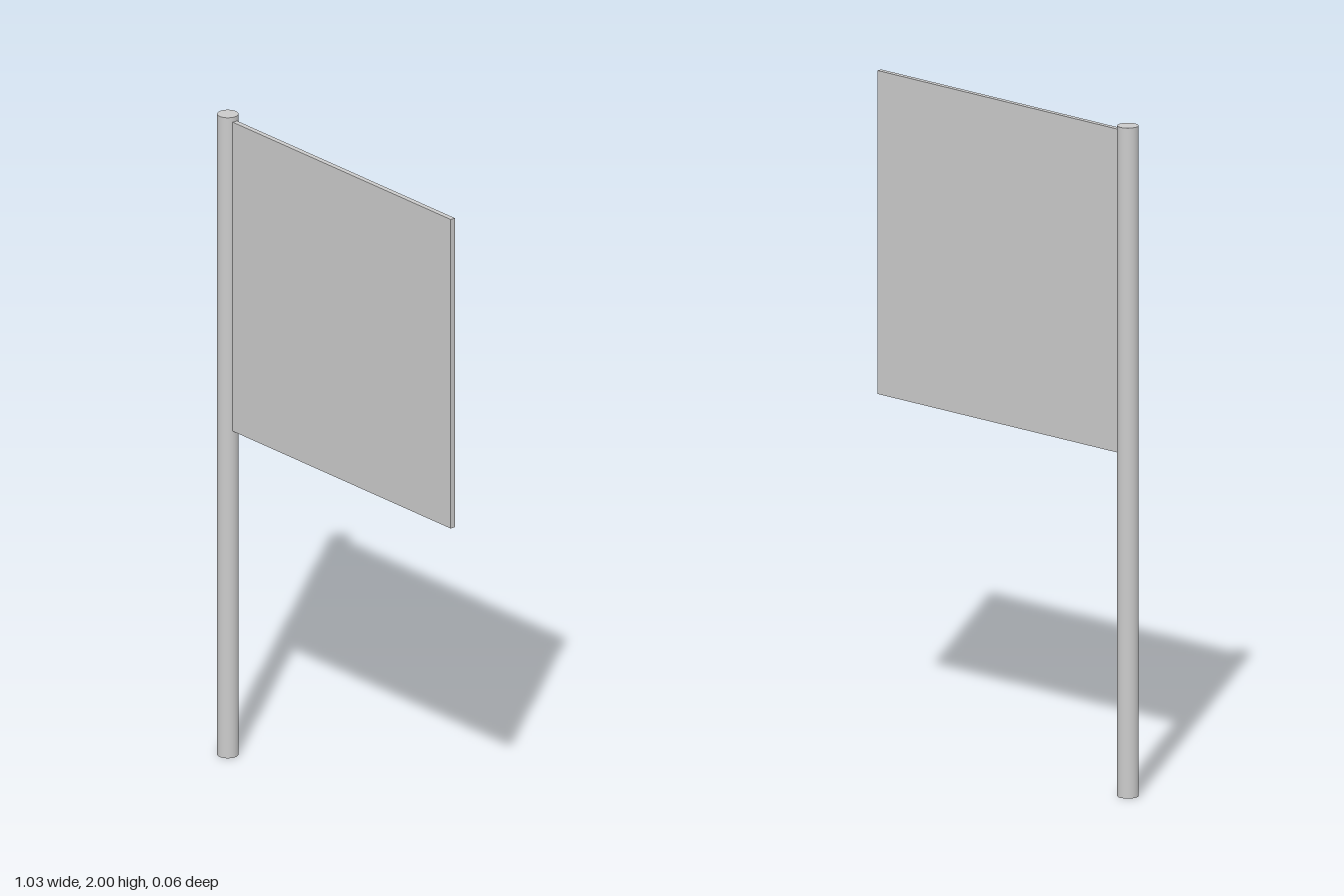
import * as THREE from 'three';

export function createModel() {
  const model = new THREE.Group();
  const material = new THREE.MeshStandardMaterial({ color: 0xcccccc });

  const poleX = -0.485, poleRadius = 0.031, poleHeight = 2;
  const flagLeft = poleX + poleRadius - 0.004, flagRight = 0.516;
  const flagBottom = 1.02, flagTop = 1.985, flagThickness = 0.016;

  // Upright round pole
  const pole = new THREE.Mesh(new THREE.CylinderGeometry(poleRadius, poleRadius, poleHeight, 32), material);
  pole.name = 'pole';
  pole.position.set(poleX, poleHeight / 2, 0);
  model.add(pole);

  // Thin flat flag, its inner edge seated in the pole
  const flag = new THREE.Mesh(
    new THREE.BoxGeometry(flagRight - flagLeft, flagTop - flagBottom, flagThickness), material);
  flag.name = 'flag';
  flag.position.set((flagLeft + flagRight) / 2, (flagBottom + flagTop) / 2, -0.001);
  model.add(flag);

  return model;
}
